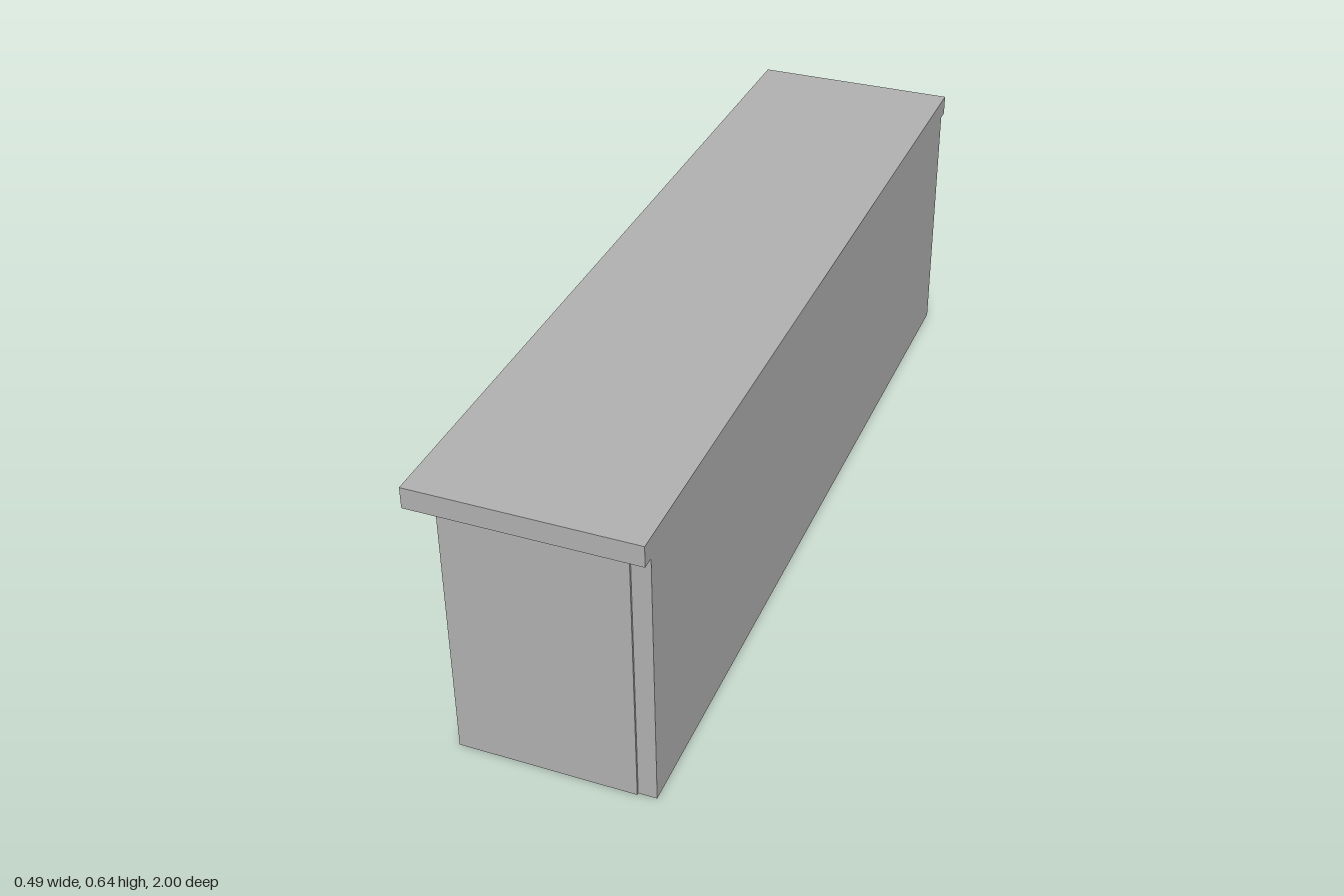
import * as THREE from 'three';

export function createModel() {
  const group = new THREE.Group();
  const grey = new THREE.MeshStandardMaterial({ color: 0xb2b2b2 });
  grey.name = 'plain grey';

  // Board given by its extents along x, y and z
  function board(name, [x0, x1], [y0, y1], [z0, z1]) {
    const mesh = new THREE.Mesh(new THREE.BoxGeometry(x1 - x0, y1 - y0, z1 - z0), grey);
    mesh.position.set((x0 + x1) / 2, (y0 + y1) / 2, (z0 + z1) / 2);
    mesh.name = name;
    group.add(mesh);
  }

  const topY = 0.595, shelfY = [0.247, 0.28], thick = 0.048;
  const depth = [-0.185, 0.203]; // from the open side to the long panel

  // Counter top, overhanging the open side and both ends
  board('counterTop', [-0.243, 0.243], [topY, 0.642], [-1, 1]);
  // Long closing panel, flush with the top
  board('longPanel', [0.203, 0.243], [0, topY], [-0.973, 0.973]);

  // Full-height uprights
  const endA = [-0.973, -0.973 + thick];
  const middle = [-thick / 2, thick / 2];
  const endB = [0.978 - thick, 0.978];
  board('endPanelBack', depth, [0, topY], endA);
  board('middlePanel', depth, [0, topY], middle);
  board('endPanelFront', depth, [0, topY], endB);

  // Shelves between the uprights
  board('shelfBack', depth, shelfY, [endA[1], middle[0]]);
  board('shelfFront', depth, shelfY, [middle[1], endB[0]]);

  // Short divider standing on the front shelf
  board('shelfDivider', depth, [shelfY[1], topY], [0.442, 0.489]);

  return group;
}
